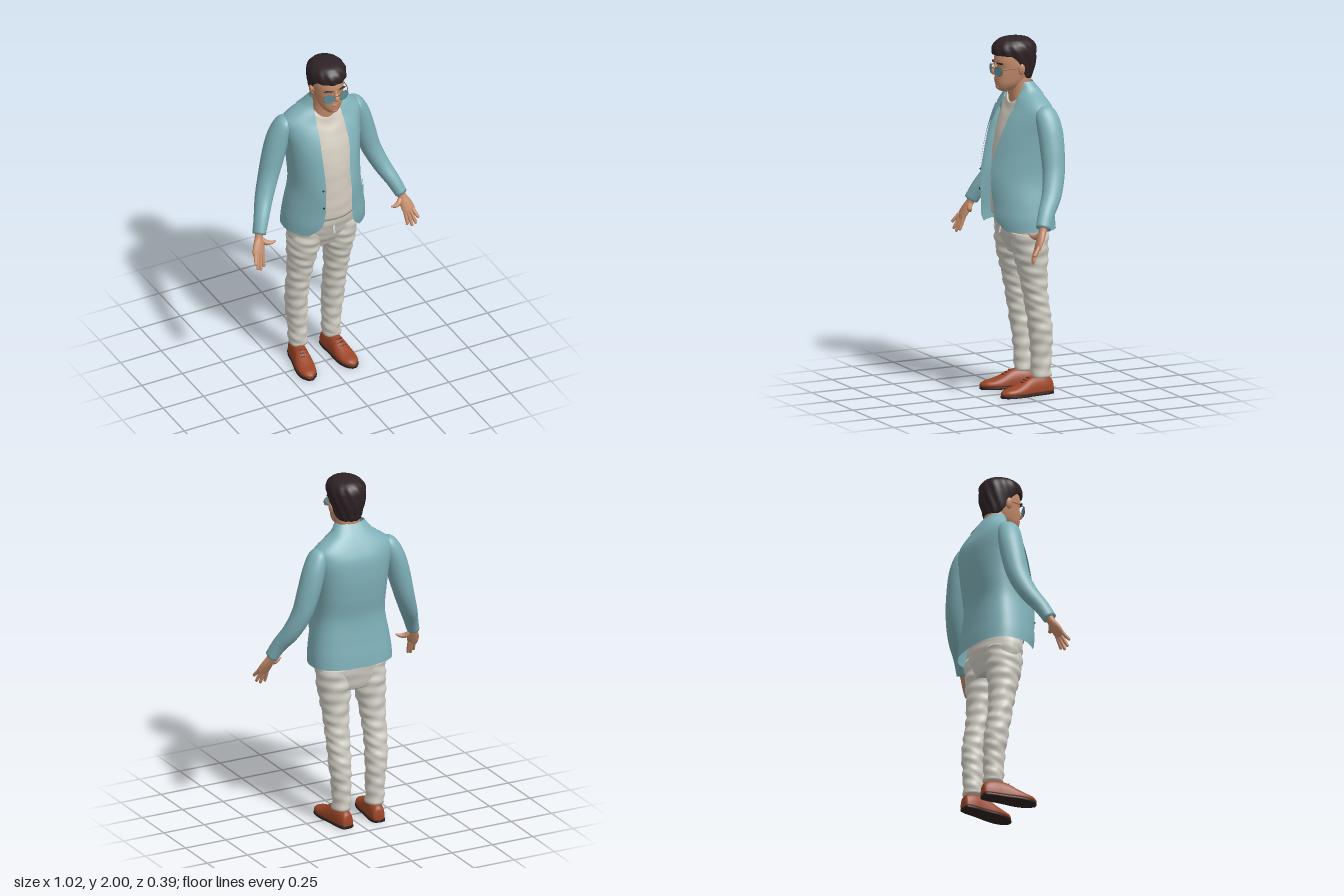
import * as THREE from 'three';

const { sin, cos, abs, sign, pow, asin, min, max, PI } = Math;
const { lerp, smoothstep } = THREE.MathUtils;
const V = (x, y, z) => new THREE.Vector3(x, y, z);
const mat = (name, color, side = THREE.FrontSide) => new THREE.MeshStandardMaterial({ name, color, side });

const M = {
  jacket: mat('teal cloth', 0x7fb0b8, THREE.DoubleSide),
  shirt: mat('cream knit', 0xd3ccc0, THREE.DoubleSide),
  trousers: mat('stone cotton', 0xd2cfc4),
  skin: mat('skin', 0xc58d6c),
  lips: mat('lips', 0xa96a55),
  hair: mat('dark brown hair', 0x2e2225, THREE.DoubleSide),
  shoe: mat('tan leather', 0x9c4526),
  sole: mat('dark sole', 0x2c211f),
  lens: mat('blue lens', 0x5b8c9a),
  frame: mat('bronze frame', 0x80603f),
};

// Smooth interpolation through rows of numbers, by row index or by the first column
function sampler(keys, byFirst = false) {
  const times = keys.map((k, i) => (byFirst ? k[0] : i));
  const it = new THREE.CubicInterpolant(times, new Float32Array(keys.flat()), keys[0].length);
  return t => Array.from(it.evaluate(t));
}

// Surface grid: u runs counter-clockwise seen from the end of v
function grid(nu, nv, fn, closed = false) {
  const pos = [], idx = [], w = closed ? nu : nu + 1;
  for (let j = 0; j <= nv; j++)
    for (let i = 0; i < w; i++) pos.push(...fn(i / nu, j / nv, j).toArray());
  for (let j = 0; j < nv; j++)
    for (let i = 0; i < nu; i++) {
      const a = j * w + i, b = j * w + (i + 1) % w;
      idx.push(a, b, b + w, a, b + w, a + w);
    }
  const g = new THREE.BufferGeometry();
  g.setAttribute('position', new THREE.Float32BufferAttribute(pos, 3));
  g.setIndex(idx);
  g.computeVertexNormals();
  return g;
}

// Point on a horizontal section [y, cx, cz, halfWidth, frontDepth, backDepth]
const spow = (v, p) => sign(v) * pow(abs(v), p);
function ringPoint([y, cx, cz, rx, rf, rb], a, off = 0, pf = 1, pb = pf) {
  const s = sin(a), c = cos(a), p = c > 0 ? pf : pb;
  return V(cx + (rx + off) * spow(s, p), y, cz + ((c > 0 ? rf : rb) + off) * spow(c, p));
}

// Closed body through horizontal sections
function loft(keys, { nu = 36, nv = 40, p = 1, wrinkle = 0 } = {}) {
  const at = sampler(keys), n = keys.length - 1;
  return grid(nu, nv, (u, v, j) => {
    const k = at(n * min(1, max(0, (j - 1) / (nv - 2)))), a = u * 2 * PI;
    if (j === 0 || j === nv) return V(k[1], k[0], k[2]);
    return ringPoint(k, a, wrinkle * sin(k[0] * 85 + 2 * sin(a + k[0] * 9)) * sin(a * 2 + k[0] * 21), p);
  }, true);
}

// Limb along a path of [x, y, z, acrossRadius, depthRadius]
function limb(keys, nu = 20, nv = 28) {
  const at = sampler(keys), n = keys.length - 1;
  return grid(nu, nv, (u, v, j) => {
    const t = n * min(1, max(0, (j - 1) / (nv - 2))), k = at(t), c = V(k[0], k[1], k[2]);
    if (j === 0 || j === nv) return c;
    const A = at(max(0, t - 0.05)), B = at(min(n, t + 0.05));
    const T = V(B[0] - A[0], B[1] - A[1], B[2] - A[2]).normalize();
    const d = V(0, 0, 1).addScaledVector(T, -T.z).normalize(), e = T.clone().cross(d);
    return c.addScaledVector(e, k[3] * sin(u * 2 * PI)).addScaledVector(d, k[4] * cos(u * 2 * PI));
  }, true);
}

// Jacket sections: y, cx, cz, half width, front, back, left edge x, right edge x
const jacketAt = sampler([
  [0.94, 0, -0.03, 0.24, 0.2, 0.155, 0.14, 0.165], [1.0, 0, -0.03, 0.236, 0.215, 0.15, 0.088, 0.11],
  [1.08, 0, -0.03, 0.224, 0.22, 0.14, 0.074, 0.09], [1.22, 0, -0.025, 0.2, 0.225, 0.135, 0.067, 0.088],
  [1.34, 0, -0.03, 0.203, 0.207, 0.147, 0.067, 0.088], [1.47, 0, -0.04, 0.215, 0.18, 0.147, 0.085, 0.09],
  [1.57, 0, -0.05, 0.23, 0.14, 0.128, 0.085, 0.085], [1.62, 0, -0.055, 0.228, 0.112, 0.102, 0.083, 0.083],
  [1.66, 0, -0.055, 0.182, 0.095, 0.08, 0.08, 0.08], [1.7, 0, -0.05, 0.118, 0.075, 0.06, 0.077, 0.077],
  [1.75, 0, -0.03, 0.079, 0.05, 0.043, 0.073, 0.073]], true);
const jacketPoint = (a, y, off) => ringPoint(jacketAt(y), a, off, 1, 0.78);
const edgeAngle = (y, s, extra = 0) => {
  const k = jacketAt(y);
  return asin(min(0.99, (k[s > 0 ? 6 : 7] + extra) / k[3]));
};
// Wrapped band round the whole jacket, and a patch on one side of it
const jacketBand = (y0, y1, off, nv) => grid(72, nv, (u, v) => {
  const y = lerp(y0, y1, v);
  return jacketPoint(lerp(edgeAngle(y, 1), 2 * PI - edgeAngle(y, -1), u), y, off);
});
const jacketPatch = (s, y0, y1, off, range) => grid(10, 16, (u, v) => {
  const y = lerp(y0, y1, v), [a, b] = range(y, v);
  return jacketPoint(s * lerp(a, b, s > 0 ? u : 1 - u), y, off);
});

export function createModel() {
  const model = new THREE.Group();
  model.name = 'standing man';
  const add = (name, geo, material, parent = model) => {
    const m = new THREE.Mesh(geo, material);
    m.name = name;
    parent.add(m);
    return m;
  };
  const blob = (name, material, [x, y, z], [sx, sy, sz], parent) => {
    const m = add(name, new THREE.SphereGeometry(1, 20, 14), material, parent);
    m.position.set(x, y, z);
    m.scale.set(sx, sy, sz);
    return m;
  };

  // Jacket body, collar, lapels, pockets and vent
  add('jacketBody', jacketBand(0.94, 1.75, 0, 60), M.jacket);
  add('collar', jacketBand(1.685, 1.755, 0.007, 10), M.jacket);
  for (const s of [1, -1]) {
    add('lapel', jacketPatch(s, 1.24, 1.6, 0.008, (y, v) => [edgeAngle(y, s, -0.003), edgeAngle(y, s, 0.07 * pow(v, 0.8))]), M.jacket);
    add('collarLeaf', jacketPatch(s, 1.61, 1.69, 0.008, (y, v) => [edgeAngle(y, s, -0.003), edgeAngle(y, s, lerp(0.055, 0.03, v))]), M.jacket);
    add('pocketFlap', jacketPatch(s, 1.13, 1.17, 0.007, () => [0.85, 1.3]), M.jacket);
  }
  add('breastPocket', jacketPatch(1, 1.495, 1.515, 0.006, () => [0.68, 1.03]), M.jacket);
  add('backVent', jacketPatch(1, 0.94, 1.13, 0.006, () => [PI, PI + 0.16]), M.jacket);
  for (const y of [1.14, 1.25])
    blob('button', M.sole, jacketPoint(-edgeAngle(y, -1, 0.01), y, 0.002).toArray(), [0.006, 0.006, 0.004]);

  // Sleeves and open hands
  for (const s of [1, -1]) {
    const arm = new THREE.Group();
    arm.name = s > 0 ? 'leftArm' : 'rightArm';
    model.add(arm);
    const part = (name, keys, m, nu, nv) => add(name, limb(keys.map(([x, ...r]) => [s * x, ...r]), nu, nv), m, arm);
    part('sleeve', [[0.195, 1.622, -0.065, 0.028, 0.04], [0.218, 1.59, -0.07, 0.05, 0.062], [0.25, 1.51, -0.08, 0.06, 0.07],
      [0.28, 1.4, -0.08, 0.062, 0.068], [0.315, 1.28, -0.07, 0.055, 0.062], [0.36, 1.17, -0.035, 0.048, 0.055],
      [0.405, 1.08, 0.02, 0.04, 0.046], [0.437, 1.005, 0.055, 0.034, 0.042]], M.jacket, 28, 44);
    part('palm', [[0.43, 1.03, 0.045, 0.026, 0.026], [0.44, 0.99, 0.06, 0.024, 0.021], [0.452, 0.95, 0.08, 0.034, 0.019],
      [0.463, 0.915, 0.098, 0.036, 0.015], [0.468, 0.895, 0.106, 0.03, 0.011]], M.skin);
    const fingers = [
      [[0.44, 0.915, 0.095], [0.443, 0.832, 0.125]], [[0.454, 0.91, 0.1], [0.467, 0.822, 0.135]],
      [[0.47, 0.91, 0.103], [0.488, 0.835, 0.14]], [[0.482, 0.92, 0.102], [0.502, 0.87, 0.143]]];
    for (const [a, b] of fingers) {
      const mid = a.map((v, i) => lerp(v, b[i], 0.55)), end = a.map((v, i) => lerp(v, b[i], 0.93));
      part('finger', [[...a, 0.011, 0.011], [...mid, 0.01, 0.01], [...end, 0.008, 0.008], [...b, 0.003, 0.003]], M.skin, 10, 12);
    }
    part('thumb', [[0.44, 0.985, 0.06, 0.014, 0.014], [0.41, 0.958, 0.08, 0.016, 0.014], [0.382, 0.955, 0.092, 0.011, 0.011],
      [0.356, 0.965, 0.1, 0.004, 0.004]], M.skin, 10, 14);
  }

  // Shirt with a scooped neckline
  const shirt = loft([[1.01, 0, -0.02, 0.18, 0.15, 0.11], [1.1, 0, -0.02, 0.175, 0.155, 0.11], [1.22, 0, -0.02, 0.165, 0.152, 0.11],
    [1.34, 0, -0.02, 0.17, 0.145, 0.12], [1.47, 0, -0.03, 0.18, 0.128, 0.12], [1.55, 0, -0.035, 0.165, 0.103, 0.1],
    [1.6, 0, -0.03, 0.125, 0.078, 0.07], [1.63, 0, -0.025, 0.088, 0.066, 0.06]], { wrinkle: 0.0015 });
  const sp = shirt.attributes.position;
  for (let i = 0; i < sp.count; i++) {
    const x = min(0.085, abs(sp.getX(i))), y = sp.getY(i);
    sp.setY(i, y + max(0, (y - 1.5) / 0.13) * x * x * 8);
  }
  shirt.computeVertexNormals();
  add('shirt', shirt, M.shirt);

  // Trousers: hips and two legs
  add('hips', loft([[0.79, -0.01, -0.04, 0.15, 0.07, 0.08], [0.86, -0.01, -0.035, 0.198, 0.1, 0.105], [0.93, -0.005, -0.03, 0.21, 0.122, 0.12],
    [1.0, 0, -0.025, 0.198, 0.135, 0.12], [1.03, 0, -0.025, 0.18, 0.137, 0.11]], { wrinkle: 0.002 }), M.trousers);
  add('trouserFly', new THREE.BoxGeometry(0.012, 0.1, 0.008).rotateX(-0.2).translate(0, 0.955, 0.096), M.trousers);
  // y, right x, left x, z, half width, half depth
  const leg = [[0.1, -0.115, 0.09, -0.105, 0.051, 0.056], [0.23, -0.118, 0.092, -0.105, 0.053, 0.06], [0.35, -0.127, 0.097, -0.1, 0.061, 0.067],
    [0.46, -0.132, 0.098, -0.085, 0.064, 0.068], [0.55, -0.13, 0.099, -0.069, 0.068, 0.068], [0.65, -0.125, 0.1, -0.055, 0.074, 0.076],
    [0.75, -0.118, 0.1, -0.042, 0.088, 0.09], [0.83, -0.111, 0.1, -0.035, 0.098, 0.1], [0.92, -0.1, 0.1, -0.03, 0.1, 0.105]];
  for (const side of [1, 2])
    add(side === 1 ? 'rightLeg' : 'leftLeg', loft(leg.map(k => [k[0], k[side], k[3], k[4], k[5], k[5]]), { nv: 90, wrinkle: 0.005 }), M.trousers);

  // Shoes: length, half width, height of the upper
  const last = [[-0.065, 0.018, 0.045], [-0.055, 0.034, 0.085], [-0.01, 0.043, 0.105], [0.04, 0.044, 0.108], [0.085, 0.047, 0.1],
    [0.135, 0.052, 0.075], [0.185, 0.05, 0.056], [0.225, 0.038, 0.047], [0.252, 0.014, 0.034]];
  for (const [name, x, yaw] of [['rightShoe', -0.118, -0.17], ['leftShoe', 0.088, 0.08]]) {
    const shoe = new THREE.Group();
    shoe.name = name;
    shoe.position.set(x, 0, -0.11);
    shoe.rotation.y = yaw;
    model.add(shoe);
    add('upper', loft(last.map(([l, w, h]) => [l, 0, -0.025, w, 0.015, h - 0.025]), { p: 0.85 }).rotateX(PI / 2), M.shoe, shoe);
    add('sole', loft(last.map(([l, w]) => [l, 0, -0.009, w + 0.003, 0.009, 0.009]), { p: 0.4 }).rotateX(PI / 2), M.sole, shoe);
    for (let i = 0; i < 3; i++)
      blob('lace', M.sole, [0, 0.1 - i * 0.011, 0.088 + i * 0.019], [0.02, 0.003, 0.003], shoe);
  }

  // Neck and head
  add('neck', loft([[1.53, 0, -0.04, 0.1, 0.06, 0.05], [1.6, 0, -0.03, 0.082, 0.062, 0.055], [1.65, 0, -0.022, 0.071, 0.06, 0.055],
    [1.7, 0, -0.015, 0.065, 0.06, 0.06], [1.76, 0, -0.01, 0.065, 0.07, 0.072], [1.8, 0, 0, 0.06, 0.06, 0.07]]), M.skin);
  const head = new THREE.Group();
  head.name = 'head';
  model.add(head);
  add('face', loft([[1.7, 0, 0.075, 0.026, 0.028, 0.05], [1.715, 0, 0.06, 0.044, 0.056, 0.07], [1.74, 0, 0.045, 0.061, 0.079, 0.085],
    [1.77, 0, 0.03, 0.071, 0.096, 0.095], [1.8, 0, 0.02, 0.078, 0.106, 0.1], [1.83, 0, 0.015, 0.084, 0.106, 0.105],
    [1.86, 0, 0.01, 0.087, 0.118, 0.105], [1.89, 0, 0.005, 0.088, 0.12, 0.098], [1.93, 0, 0, 0.083, 0.11, 0.095],
    [1.97, 0, 0, 0.055, 0.07, 0.07]], { p: 0.92 }), M.skin, head);
  add('nose', limb([[0, 1.87, 0.115, 0.008, 0.01], [0, 1.835, 0.125, 0.011, 0.014], [0, 1.81, 0.136, 0.017, 0.018],
    [0, 1.797, 0.128, 0.011, 0.01]], 16, 16), M.skin, head);
  blob('upperLip', M.lips, [0, 1.767, 0.122], [0.027, 0.005, 0.009], head);
  blob('lowerLip', M.lips, [0, 1.758, 0.121], [0.023, 0.006, 0.009], head);
  blob('chin', M.skin, [0, 1.723, 0.104], [0.024, 0.018, 0.019], head);

  // Swept hair: the lower edge drops from the forehead to the nape
  const hairAt = sampler([[1.76, 0, -0.01, 0.066, 0.1, 0.075], [1.8, 0, 0, 0.083, 0.11, 0.095], [1.85, 0, 0, 0.094, 0.12, 0.108],
    [1.9, 0, 0.005, 0.103, 0.132, 0.116], [1.94, 0, 0.01, 0.103, 0.128, 0.117], [1.97, 0, 0.012, 0.087, 0.105, 0.1],
    [1.99, 0, 0.013, 0.053, 0.065, 0.062], [2.0, 0, 0.013, 0.0, 0.0, 0.0]], true);
  add('hair', grid(72, 30, (u, v, j) => {
    const a = u * 2 * PI;
    const y = lerp(1.765 + 0.137 * smoothstep(cos(a), -0.45, 0.6), 2, sin(max(0, j - 1) / 29 * PI / 2));
    const strand = 0.003 * sin(a * 12 + y * 45) * smoothstep(2 - y, 0.005, 0.06);
    return ringPoint(hairAt(y), a, j === 0 ? -0.018 : strand);
  }, true), M.hair, head);

  // Ears, brows and sunglasses
  const bar = (name, pts, r) => add(name, new THREE.TubeGeometry(new THREE.CatmullRomCurve3(pts), 12, r, 6), M.frame, head);
  for (const s of [1, -1]) {
    blob('ear', M.skin, [s * 0.091, 1.825, 0.012], [0.012, 0.032, 0.019], head).rotation.z = -s * 0.15;
    blob('eyebrow', M.hair, [s * 0.04, 1.858, 0.12], [0.027, 0.005, 0.008], head).rotation.y = s * 0.3;
    const lens = new THREE.Group();
    lens.name = 'lensAssembly';
    lens.position.set(s * 0.045, 1.818, 0.132);
    lens.rotation.y = s * 0.3;
    lens.scale.set(1.18, 0.95, 1);
    head.add(lens);
    add('lens', new THREE.CylinderGeometry(0.027, 0.027, 0.005, 28).rotateX(PI / 2), M.lens, lens);
    add('lensRim', new THREE.TorusGeometry(0.027, 0.0025, 6, 32), M.frame, lens);
    bar('temple', [V(s * 0.076, 1.83, 0.122), V(s * 0.091, 1.832, 0.08), V(s * 0.095, 1.835, 0.02)], 0.0025);
  }
  bar('bridge', [V(-0.016, 1.828, 0.139), V(0, 1.832, 0.147), V(0.016, 1.828, 0.139)], 0.0025);
  return model;
}
